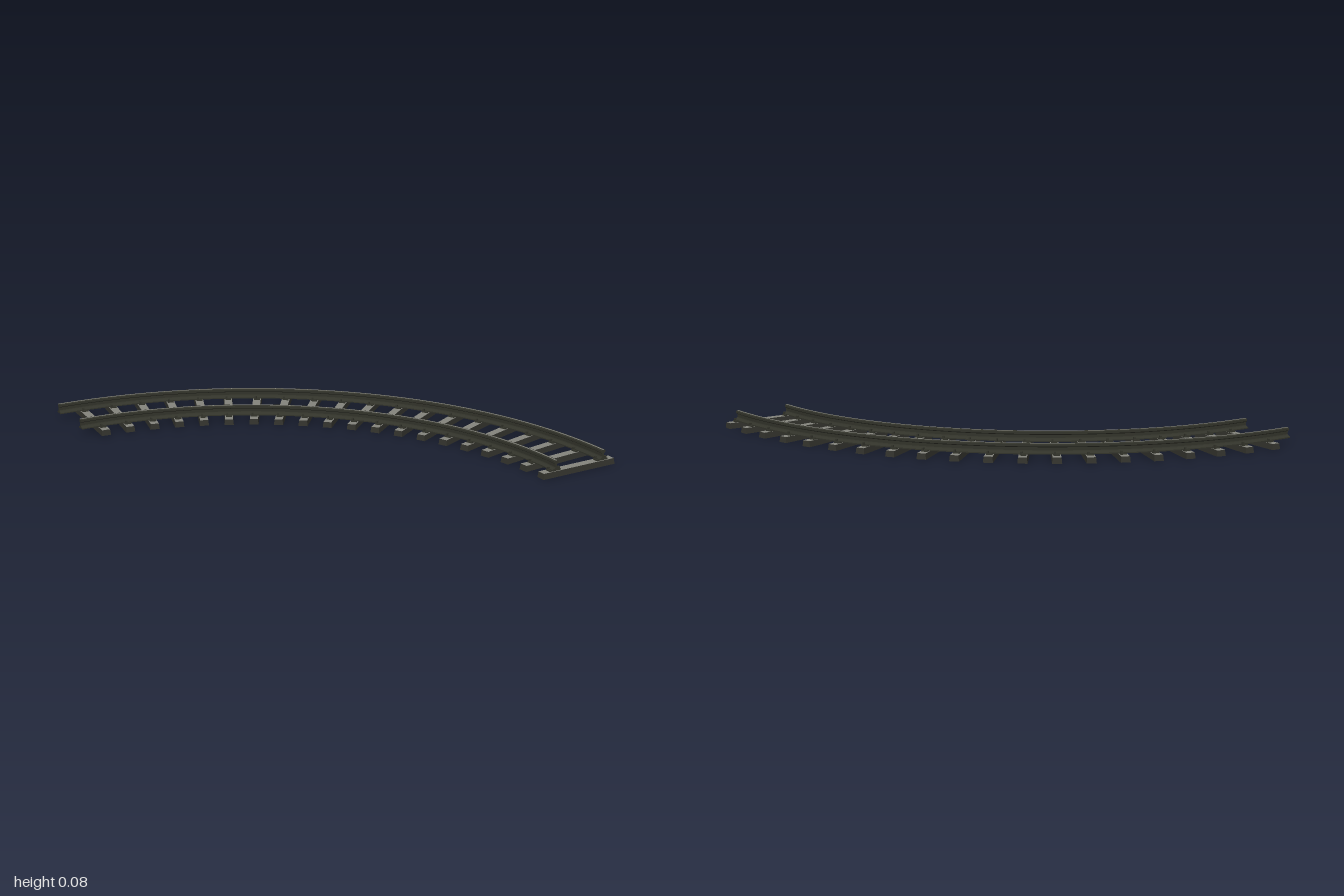
import * as THREE from 'three';
import { toCreasedNormals } from 'three/addons/utils/BufferGeometryUtils.js';

// Centre of the quarter-circle curve, and the radii of the two rails
const CX = -1.0, CZ = 0.975;
const RAILS = { innerRail: 1.632, outerRail: 1.907 };
const TIES = 20, STEP = Math.PI / 40;

// Half sections: [sideways, height], from bottom to top
const RAIL_HALF = [
  [0.021, 0.032], [0.021, 0.037], [0.006, 0.044], [0.004, 0.048],
  [0.004, 0.062], [0.011, 0.067], [0.011, 0.077], [0.008, 0.08],
];
const WORN_HALF = [[0.0035, 0.079], [0.0035, 0.0806]];

function curvedBar(half, radius) {
  const mirrored = half.map(([x, y]) => [-x, y]).reverse();
  const shape = new THREE.Shape([...half, ...mirrored].map(([x, y]) => new THREE.Vector2(x, y)));
  const start = 0.02 / radius;
  const sweep = Math.PI / 2 + 0.02 / radius - start;
  const geometry = new THREE.ExtrudeGeometry(shape, { depth: 1, steps: 60, bevelEnabled: false });
  // Bend the straight bar round the curve
  const p = geometry.attributes.position;
  for (let i = 0; i < p.count; i++) {
    const a = start + sweep * p.getZ(i);
    const r = radius + p.getX(i);
    p.setXYZ(i, CX + r * Math.sin(a), p.getY(i), CZ - r * Math.cos(a));
  }
  return toCreasedNormals(geometry, 0.35);
}

// Beam whose top face is slightly smaller than its base
function sleeperGeometry(length, height, width, inset) {
  const geometry = new THREE.BoxGeometry(length, height, width);
  const p = geometry.attributes.position;
  for (let i = 0; i < p.count; i++) {
    if (p.getY(i) < 0) continue;
    p.setX(i, p.getX(i) - Math.sign(p.getX(i)) * inset);
    p.setZ(i, p.getZ(i) - Math.sign(p.getZ(i)) * inset);
  }
  geometry.computeVertexNormals();
  return geometry;
}

export function createModel() {
  const model = new THREE.Group();
  model.name = 'curvedTrack';
  const steel = new THREE.MeshStandardMaterial({ name: 'darkSteel', color: 0x32332a });
  const darkWood = new THREE.MeshStandardMaterial({ name: 'darkWood', color: 0x33332d });
  const grey = new THREE.MeshStandardMaterial({ name: 'wornGrey', color: 0x84847d });

  const add = (parent, name, geometry, material, x = 0, y = 0, z = 0) => {
    const mesh = new THREE.Mesh(geometry, material);
    mesh.name = name;
    mesh.position.set(x, y, z);
    parent.add(mesh);
  };

  // Rails with a narrow worn line along the head
  for (const [name, radius] of Object.entries(RAILS)) {
    add(model, name, curvedBar(RAIL_HALF, radius), steel);
    add(model, name + 'WornLine', curvedBar(WORN_HALF, radius), grey);
  }

  // Sleepers: grey top, dark sides, with a base plate and spikes under each rail
  const tieGeo = sleeperGeometry(0.415, 0.028, 0.046, 0.003);
  const tieMaterials = [darkWood, darkWood, grey, darkWood, darkWood, darkWood];
  const plateGeo = new THREE.BoxGeometry(0.062, 0.006, 0.03);
  const spikeGeo = new THREE.BoxGeometry(0.011, 0.012, 0.009);
  for (let i = 1; i <= TIES; i++) {
    const tie = new THREE.Group();
    tie.name = 'sleeper' + i;
    tie.position.set(CX, 0, CZ);
    tie.rotation.y = Math.PI / 2 - i * STEP;
    add(tie, 'sleeperBeam', tieGeo, tieMaterials, 1.768, 0.014, 0);
    for (const radius of Object.values(RAILS)) {
      add(tie, 'basePlate', plateGeo, steel, radius, 0.031, 0);
      for (const side of [-1, 1]) add(tie, 'spike', spikeGeo, steel, radius + side * 0.022, 0.039, side * 0.008);
    }
    model.add(tie);
  }
  return model;
}
